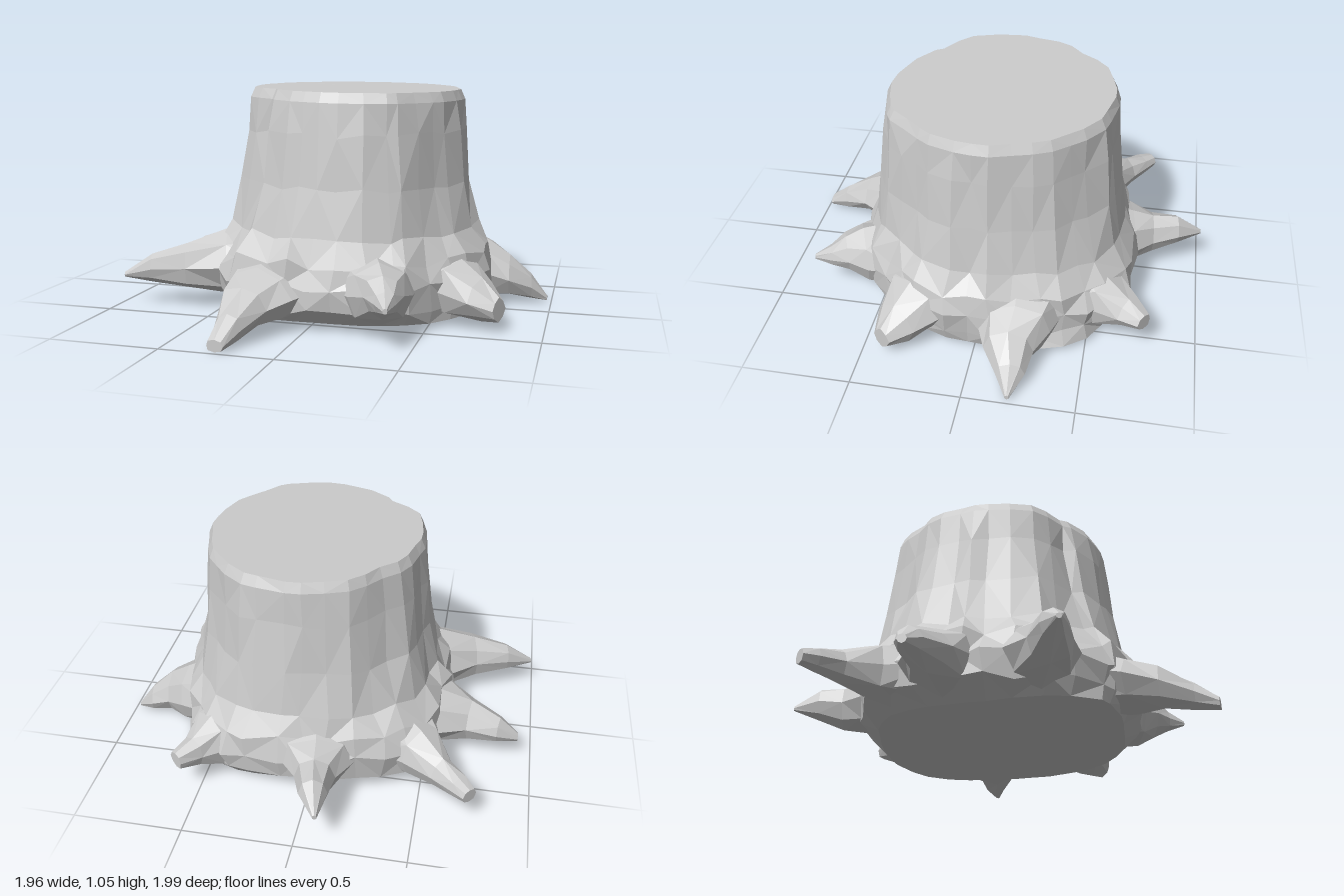
import * as THREE from 'three';

const material = new THREE.MeshStandardMaterial({ color: 0xcccccc, flatShading: true });

// small seeded noise, -1..1
let seed = 7;
const noise = () => {
  seed = (seed * 16807) % 2147483647;
  return (seed / 2147483647) * 2 - 1;
};

// skin a list of equal-length loops and close both ends
function loft(name, loops) {
  const n = loops[0].length;
  const pos = [];
  const tri = (...pts) => pts.forEach((p) => pos.push(p.x, p.y, p.z));
  const middle = (l) => l.reduce((s, p) => s.add(p), new THREE.Vector3()).divideScalar(n);
  const first = loops[0], last = loops[loops.length - 1];
  const start = middle(first), end = middle(last);
  for (let j = 0; j < n; j++) {
    const k = (j + 1) % n;
    for (let i = 0; i < loops.length - 1; i++) {
      const a = loops[i][j], b = loops[i][k], c = loops[i + 1][j], d = loops[i + 1][k];
      if ((i + j) % 2) { tri(a, c, b); tri(b, c, d); } else { tri(a, c, d); tri(a, d, b); }
    }
    tri(first[j], first[k], start);
    tri(last[k], last[j], end);
  }
  const geo = new THREE.BufferGeometry();
  geo.setAttribute('position', new THREE.Float32BufferAttribute(pos, 3));
  geo.computeVertexNormals();
  const mesh = new THREE.Mesh(geo, material);
  mesh.name = name;
  return mesh;
}

// outline radii every 15 degrees, starting at +x and turning towards +z
const sole = [.62, .62, .63, .63, .61, .59, .57, .60, .65, .70, .63, .57,
  .53, .54, .57, .61, .59, .57, .58, .61, .66, .70, .68, .64];
const flare = [.66, .66, .66, .65, .69, .69, .68, .69, .71, .73, .70, .68,
  .69, .69, .73, .77, .69, .69, .67, .69, .74, .70, .67, .66];
const rim = [.50, .50, .50, .50, .52, .52, .51, .50, .49, .47, .51, .51,
  .50, .50, .50, .50, .52, .53, .53, .53, .53, .52, .50, .50];

function sample(list, turn) {
  const f = turn * list.length, i = Math.floor(f);
  return THREE.MathUtils.lerp(list[i % list.length], list[(i + 1) % list.length], f - i);
}

// twelve flat sides on the sawn rim
const facet = (turn) => .985 / Math.cos((((turn * 12) % 1) - .5) * Math.PI / 6);

// trunk: rings of [height, share of flare, scale, roughness]
function makeTrunk() {
  const columns = 36;
  const rings = [
    [.037, 1, 1, 0], [.1, 1, .97, .012], [.21, 1, .995, .015], [.31, .8, 1, .02],
    [.41, .48, 1, .012], [.62, .24, 1, .008], [.85, .1, 1, .008], [1.0, .03, 1, .003], [1.045, 0, .97, 0],
  ];
  const groove = Array.from({ length: columns }, () => noise() * .016);
  const shift = Array.from({ length: columns }, () => noise() * .3);
  const loops = rings.map(([y, t, scale, rough], i) =>
    Array.from({ length: columns }, (_, j) => {
      const turn = (j + .5 + shift[j] + noise() * rough * 8) / columns;
      const wide = sample(i === 0 ? sole : flare, turn);
      const bark = i > 2 && i < 7 ? groove[j] : groove[j] * .3;
      const r = THREE.MathUtils.lerp(sample(rim, turn) * facet(turn), wide, t) * scale
        + bark + noise() * rough;
      const a = turn * Math.PI * 2;
      const tilt = i > 6 ? -.013 * Math.cos(a - .9) : noise() * rough * 1.5;
      return new THREE.Vector3(.08 + r * Math.cos(a), y + tilt, -.02 + r * Math.sin(a));
    }));
  return loft('trunk', loops);
}

// roots: stations of [x, y, z, half width, half height] from trunk to tip
const roots = {
  rootBack: [[0, .21, -.46, .26, .17], [-.04, .2, -.66, .16, .13], [-.05, .2, -.76, .085, .1], [-.07, .22, -.88, .06, .075], [-.1, .2, -1, .01, .012]],
  rootBackLeft: [[.34, .21, -.42, .22, .17], [.47, .2, -.58, .125, .13], [.53, .19, -.68, .07, .075], [.59, .19, -.755, .04, .04]],
  rootLeft: [[.5, .22, -.18, .26, .18], [.7, .17, -.19, .17, .14], [.8, .13, -.175, .105, .095], [.9, .085, -.2, .06, .06], [.98, .025, -.2, .01, .012]],
  rootFrontLeft: [[.45, .2, .18, .23, .17], [.63, .17, .3, .15, .13], [.73, .14, .355, .1, .09], [.81, .11, .4, .045, .05]],
  rootFront: [[.27, .2, .45, .2, .16], [.33, .19, .61, .145, .13], [.365, .21, .69, .085, .09], [.39, .2, .76, .05, .05], [.41, .19, .84, .01, .012]],
  rootFrontRight: [[-.14, .2, .4, .26, .17], [-.21, .16, .62, .18, .12], [-.235, .13, .74, .11, .095], [-.245, .08, .88, .06, .06], [-.26, .035, .98, .04, .025]],
  rootRightFront: [[-.3, .22, .18, .25, .18], [-.5, .22, .25, .175, .145], [-.68, .2, .31, .105, .1], [-.85, .185, .345, .06, .065], [-.98, .15, .38, .012, .012]],
  rootRightBack: [[-.35, .21, -.16, .25, .17], [-.55, .2, -.19, .175, .135], [-.7, .18, -.19, .1, .095], [-.84, .165, -.235, .065, .06], [-.93, .13, -.235, .02, .02]],
  rootBackRight: [[-.34, .2, -.36, .22, .16], [-.49, .19, -.5, .12, .12], [-.6, .18, -.6, .065, .075], [-.68, .18, -.68, .05, .05], [-.73, .18, -.73, .035, .035]],
};

function makeRoot(name, stations) {
  const sides = 8;
  const at = (i) => new THREE.Vector3(...stations[i].slice(0, 3));
  const loops = stations.map(([, , , w, h], i) => {
    const along = at(Math.min(i + 1, stations.length - 1)).sub(at(Math.max(i - 1, 0))).setY(0).normalize();
    const side = new THREE.Vector3(-along.z, 0, along.x);
    return Array.from({ length: sides }, (_, j) => {
      const a = (j / sides) * Math.PI * 2 + Math.PI / 2;
      const k = 1.02 + noise() * .1;
      const p = at(i).addScaledVector(side, Math.cos(a) * w * k);
      p.y = Math.max(i > 2 ? .003 : .04, p.y + Math.sin(a) * h * k);
      return p;
    });
  });
  return loft(name, loops);
}

export function createModel() {
  seed = 7;
  const stump = new THREE.Group();
  stump.name = 'treeStump';
  stump.add(makeTrunk());
  for (const [name, stations] of Object.entries(roots)) stump.add(makeRoot(name, stations));
  return stump;
}
